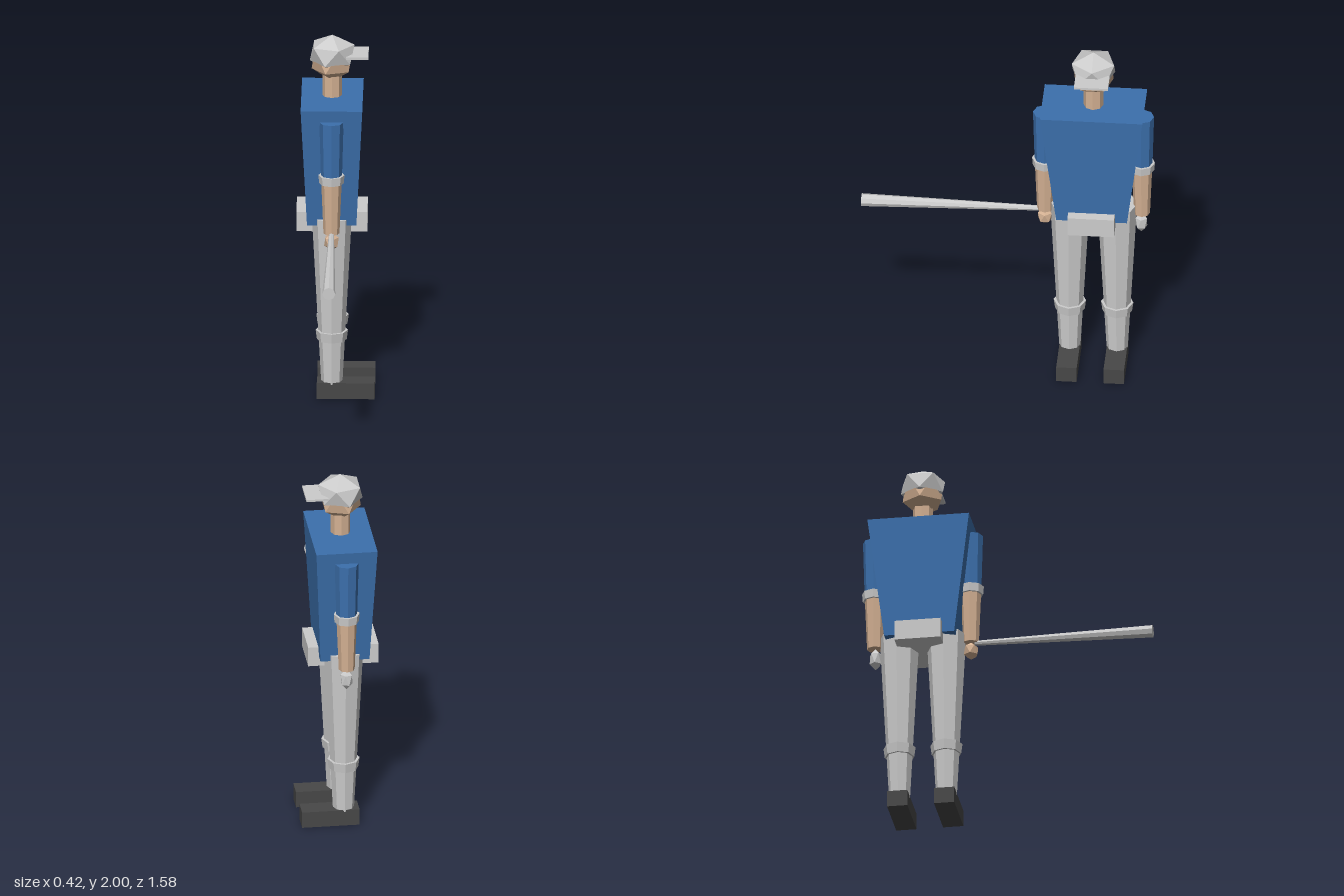
import * as THREE from 'three';

const flat = (name, color) => {
  const m = new THREE.MeshStandardMaterial({ color, flatShading: true });
  m.name = name;
  return m;
};

export function createModel() {
  const blue = flat('blue shirt', 0x3c70ad);
  const grey = flat('light grey cloth', 0xcccccc);
  const skin = flat('skin', 0xd4b193);
  const dark = flat('dark shoe', 0x484848);

  // The figure faces +x; its body is centred on this x and z.
  const CX = -0.02, CZ = -0.46;
  const model = new THREE.Group();
  model.name = 'batter';

  const add = (name, geometry, material, x, y, z) => {
    const mesh = new THREE.Mesh(geometry, material);
    mesh.name = name;
    mesh.position.set(x, y, z);
    model.add(mesh);
    return mesh;
  };

  // Upright eight-sided tapered limb between two heights
  const limb = (name, material, rTop, rBottom, y0, y1, z) =>
    add(name, new THREE.CylinderGeometry(rTop, rBottom, y1 - y0, 8), material, CX, (y0 + y1) / 2, z);

  // Box between two corners
  const block = (name, material, [x0, y0, z0], [x1, y1, z1]) =>
    add(name, new THREE.BoxGeometry(x1 - x0, y1 - y0, z1 - z0), material,
      (x0 + x1) / 2, (y0 + y1) / 2, (z0 + z1) / 2);

  // Icosahedron standing on a point, stretched in height
  const gem = (name, material, r, ry, y, z) => {
    const g = new THREE.IcosahedronGeometry(1, 0);
    g.rotateZ(-Math.atan(2 / (1 + Math.sqrt(5))));
    g.scale(r, ry, r);
    return add(name, g, material, CX, y, z);
  };

  // Torso: a box narrowing to the waist
  const torso = new THREE.BoxGeometry(0.33, 0.675, 0.55);
  const p = torso.attributes.position;
  for (let i = 0; i < p.count; i++) {
    if (p.getY(i) < 0) p.setXYZ(i, p.getX(i) * 0.8, p.getY(i), p.getZ(i) * 0.69);
  }
  torso.computeVertexNormals();
  add('torso', torso, blue, CX, 1.3225, CZ);

  // Belt, neck, head and cap
  block('belt', grey, [-0.21, 0.93, -0.585], [0.17, 1.04, -0.335]);
  limb('neck', skin, 0.053, 0.053, 1.64, 1.79, CZ);
  gem('head', skin, 0.123, 0.13, 1.868, CZ);
  gem('cap', grey, 0.134, 0.1, 1.9, CZ);
  block('capVisor', grey, [0.055, 1.89, -0.553], [0.175, 1.902, -0.37]);

  // Legs and arms on both sides
  for (const [side, s] of [['right', 1], ['left', -1]]) {
    const legZ = CZ + s * 0.127;
    limb(side + 'Leg', grey, 0.107, 0.057, 0.08, 1.02, legZ);
    limb(side + 'KneeBand', grey, 0.087, 0.08, 0.322, 0.375, legZ);
    block(side + 'Shoe', dark, [-0.1, 0, legZ - 0.055], [0.21, 0.09, legZ + 0.055]);

    const armZ = CZ + s * 0.26;
    limb(side + 'Sleeve', blue, 0.065, 0.056, 1.27, 1.595, armZ);
    limb(side + 'Cuff', grey, 0.07, 0.066, 1.25, 1.296, armZ);
    limb(side + 'Forearm', skin, 0.055, 0.043, 0.967, 1.26, armZ);
  }
  gem('rightHand', skin, 0.044, 0.05, 0.92, -0.2);
  gem('leftGlove', grey, 0.036, 0.062, 0.907, -0.717);

  // Bat held out from the right hand, thicker at the far end
  const bat = add('bat', new THREE.CylinderGeometry(0.035, 0.014, 0.965, 8), grey, CX, 0.965, 0.3025);
  bat.rotation.x = Math.PI / 2;

  return model;
}
